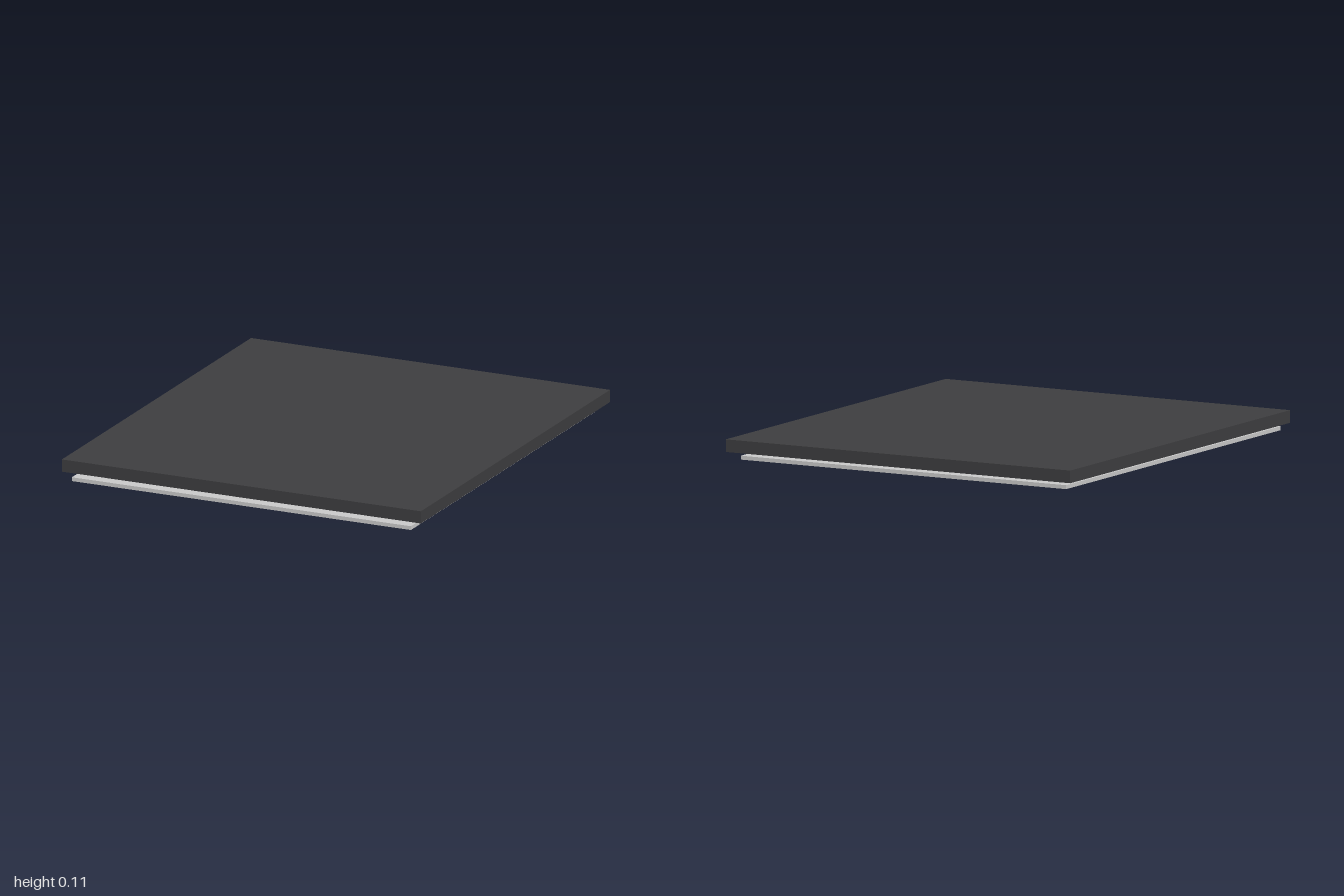
import * as THREE from 'three';

const grey = new THREE.MeshStandardMaterial({ color: 0xcccccc });
const dark = new THREE.MeshStandardMaterial({ color: 0x3e3e40 });
const black = new THREE.MeshStandardMaterial({ color: 0x1c1c1c });

// Rectangle outline in plan: x range, z range
function rect(Type, x0, x1, z0, z1) {
  return new Type().moveTo(x0, z0).lineTo(x1, z0).lineTo(x1, z1).lineTo(x0, z1).closePath();
}

function add(parent, name, geometry, material, x = 0, y = 0, z = 0) {
  const mesh = new THREE.Mesh(geometry, material);
  mesh.name = name;
  mesh.position.set(x, y, z);
  parent.add(mesh);
  return mesh;
}

// Flat horizontal sheet with rectangular cut-outs, hanging down from y = top
function sheet(parent, name, outline, holes, top, thickness) {
  const shape = rect(THREE.Shape, ...outline);
  shape.holes = holes.map((h) => rect(THREE.Path, ...h));
  const geometry = new THREE.ExtrudeGeometry(shape, { depth: thickness, bevelEnabled: false });
  geometry.rotateX(Math.PI / 2);
  return add(parent, name, geometry, grey, 0, top, 0);
}

export function createModel() {
  const model = new THREE.Group();
  model.name = 'flatPanel';

  // Dark slab on top
  add(model, 'topSlab', new THREE.BoxGeometry(1.8, 0.058, 2), dark, 0, 0.077, 0);

  // Base plate: two layers so the two hatches are shallow recesses underneath
  const base = new THREE.Group();
  base.name = 'basePlate';
  model.add(base);
  const outline = [-0.85, 0.85, -0.95, 1];
  const vent = [-0.21, 0.21, 0.27, 0.345];
  const largeHatch = [-0.44, 0.435, -0.81, 0.225];
  const smallHatch = [-0.44, 0.435, 0.395, 0.88];
  sheet(base, 'plateUpperLayer', outline, [vent], 0.028, 0.009);
  sheet(base, 'plateLowerLayer', outline, [largeHatch, smallHatch, vent], 0.019, 0.009);

  // Vent grille: dark backing above the opening, with a row of short bars
  const grille = new THREE.Group();
  grille.name = 'ventGrille';
  model.add(grille);
  add(grille, 'ventBacking', new THREE.BoxGeometry(0.42, 0.006, 0.075), black, 0, 0.031, 0.3075);
  const barGeometry = new THREE.BoxGeometry(0.012, 0.014, 0.075);
  for (let i = 0; i < 16; i++) {
    add(grille, 'ventBar', barGeometry, grey, -0.195 + i * 0.026, 0.019, 0.3075);
  }

  // Six round feet with a softly dished underside
  const profile = [[0, 0.004], [0.03, 0.003], [0.036, 0], [0.044, 0], [0.05, 0.004], [0.05, 0.011]];
  const footGeometry = new THREE.LatheGeometry(profile.map(([r, y]) => new THREE.Vector2(r, y)), 32);
  for (const x of [-0.645, 0.645]) {
    for (const z of [-0.64, 0.027, 0.7]) add(model, 'foot', footGeometry, grey, x, 0, z);
  }

  return model;
}
